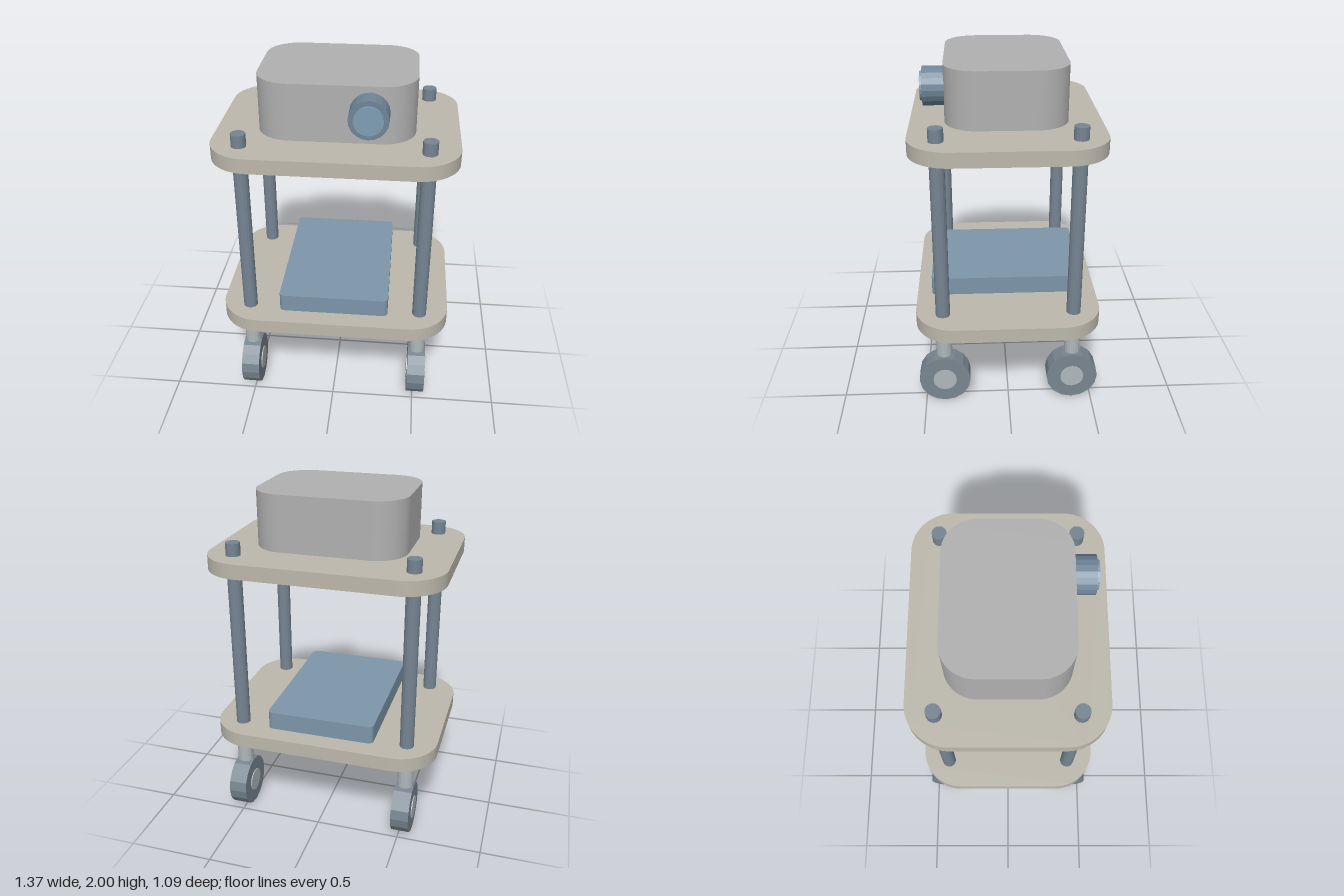
import * as THREE from 'three';

const mat = (color) => new THREE.MeshStandardMaterial({ color, flatShading: true });
const COL = {
  shelf: mat(0xbcb8ac), head: mat(0xb0b0b0), post: mat(0x768592), battery: mat(0x7c96aa),
  wheel: mat(0x78858f), metal: mat(0xafb8bb), lens: mat(0x6f8598), glass: mat(0x7f9db4),
};

function add(parent, name, geometry, material, x = 0, y = 0, z = 0) {
  const mesh = new THREE.Mesh(geometry, material);
  mesh.name = name;
  mesh.position.set(x, y, z);
  parent.add(mesh);
  return mesh;
}

// Upright slab with rounded vertical corners, standing on y = 0
function roundedSlab(halfX, halfZ, radius, height) {
  const a = halfX - radius, b = halfZ - radius, q = Math.PI / 2;
  const s = new THREE.Shape();
  s.absarc(a, b, radius, 0, q);
  s.absarc(-a, b, radius, q, 2 * q);
  s.absarc(-a, -b, radius, 2 * q, 3 * q);
  s.absarc(a, -b, radius, 3 * q, 4 * q);
  s.closePath();
  return new THREE.ExtrudeGeometry(s, { depth: height, bevelEnabled: false, curveSegments: 8 })
    .rotateX(-Math.PI / 2);
}

const cylinder = (r, h, sides = 16) => new THREE.CylinderGeometry(r, r, h, sides);

export function createModel() {
  const model = new THREE.Group();
  model.name = 'shelfRobot';

  // Two shelves, the battery pack and the head
  add(model, 'lowerShelf', roundedSlab(0.686, 0.543, 0.235, 0.086), COL.shelf, 0, 0.497, 0);
  add(model, 'upperShelf', roundedSlab(0.686, 0.543, 0.235, 0.086), COL.shelf, 0, 1.567, 0);
  add(model, 'batteryPack', roundedSlab(0.325, 0.453, 0.03, 0.11), COL.battery, 0, 0.6, 0);
  add(model, 'head', roundedSlab(0.438, 0.343, 0.185, 0.323), COL.head, 0, 1.677, 0);

  // Camera on the front of the head
  const camera = new THREE.Group();
  camera.name = 'camera';
  camera.position.set(0.188, 1.86, 0);
  model.add(camera);
  add(camera, 'lensBarrel', cylinder(0.108, 0.13, 20).rotateX(Math.PI / 2), COL.lens, 0, 0, 0.394);
  add(camera, 'lensGlass', cylinder(0.08, 0.04, 20).rotateX(Math.PI / 2), COL.glass, 0, 0, 0.453);

  // Four corner posts, each on a caster
  for (const sx of [-1, 1]) {
    for (const sz of [-1, 1]) {
      const corner = new THREE.Group();
      corner.name = (sz > 0 ? 'front' : 'back') + (sx > 0 ? 'Left' : 'Right') + 'Corner';
      corner.position.set(sx * 0.515, 0, sz * 0.383);
      model.add(corner);
      add(corner, 'post', cylinder(0.042, 1.287), COL.post, 0, 1.0835, 0);
      add(corner, 'casterStem', cylinder(0.047, 0.135), COL.metal, 0, 0.3775, 0);
      add(corner, 'wheel', cylinder(0.153, 0.108).rotateZ(Math.PI / 2), COL.wheel, 0, 0.154, 0);
      add(corner, 'hub', cylinder(0.07, 0.12).rotateZ(Math.PI / 2), COL.metal, 0, 0.154, 0);
    }
  }
  return model;
}
